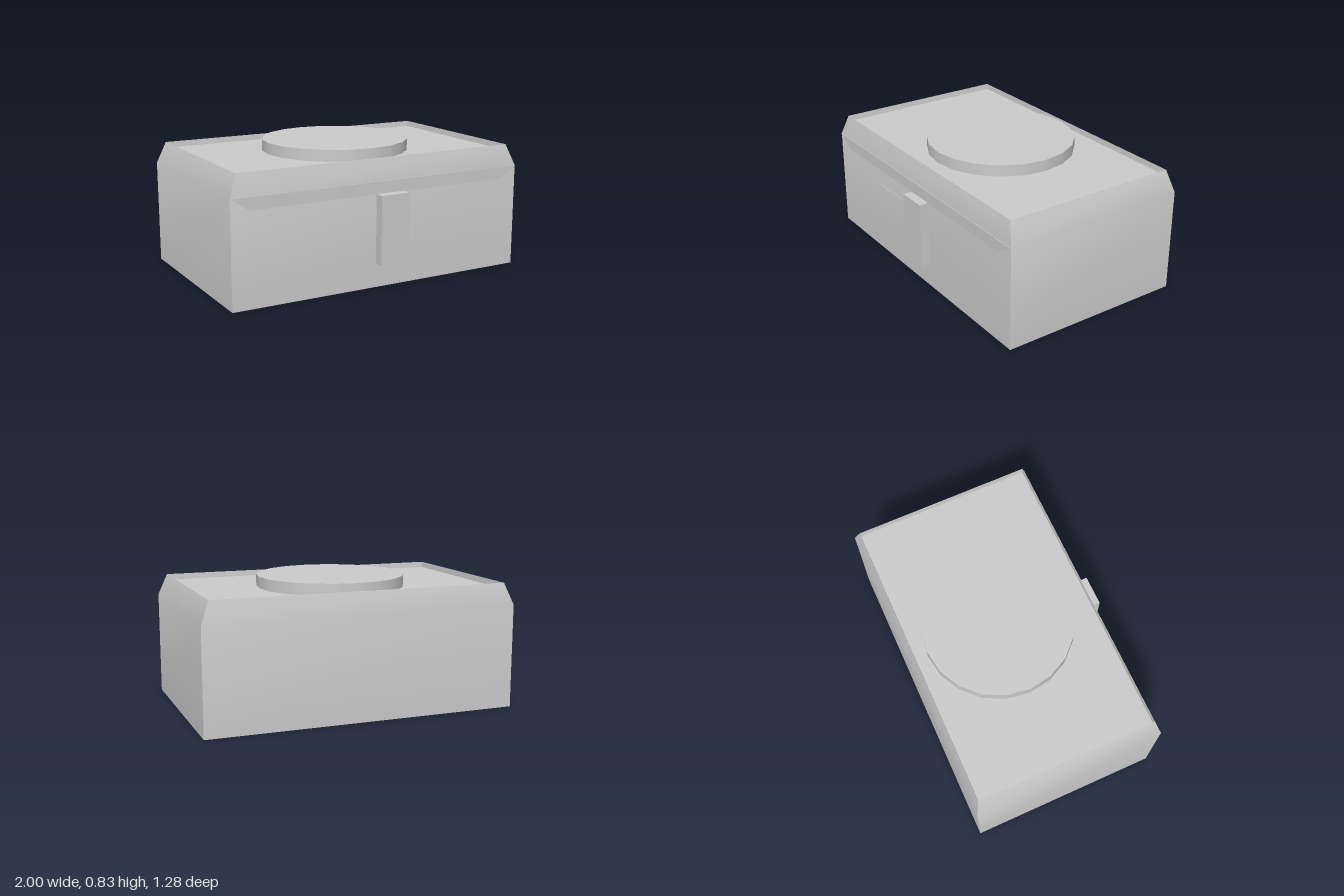
import * as THREE from 'three';
import { toCreasedNormals } from 'three/addons/utils/BufferGeometryUtils.js';

const grey = new THREE.MeshStandardMaterial({ color: 0xcccccc });

function addPart(group, name, geometry, x = 0, y = 0, z = 0) {
  const mesh = new THREE.Mesh(geometry, grey);
  mesh.name = name;
  mesh.position.set(x, y, z);
  group.add(mesh);
  return mesh;
}

// Box given by its limits on each axis
function addBlock(group, name, [x0, x1], [y0, y1], [z0, z1]) {
  return addPart(group, name, new THREE.BoxGeometry(x1 - x0, y1 - y0, z1 - z0),
    (x0 + x1) / 2, (y0 + y1) / 2, (z0 + z1) / 2);
}

// Closed shell through rectangular rings [halfWidth, y, zFront, zBack]
function ringShell(rings) {
  const corners = rings.map(([w, y, f, b]) => [[-w, y, f], [w, y, f], [w, y, b], [-w, y, b]]);
  const pos = [];
  const quad = (a, b, c, d) => pos.push(...a, ...b, ...c, ...a, ...c, ...d);
  for (let i = 0; i < corners.length - 1; i++) {
    const lo = corners[i], hi = corners[i + 1];
    for (let k = 0; k < 4; k++) {
      const n = (k + 1) % 4;
      quad(lo[k], lo[n], hi[n], hi[k]);
    }
  }
  quad(...corners[corners.length - 1]);
  quad(...[...corners[0]].reverse());
  const geometry = new THREE.BufferGeometry();
  geometry.setAttribute('position', new THREE.Float32BufferAttribute(pos, 3));
  return toCreasedNormals(geometry, Math.PI / 6);
}

export function createModel() {
  const model = new THREE.Group();
  model.name = 'case';

  // Box with chamfered shoulders and a shallow recess in the top
  addPart(model, 'body', ringShell([
    [1, 0, 0.577, -0.64],
    [1, 0.66, 0.577, -0.64],
    [0.945, 0.797, 0.543, -0.607],
    [0.94, 0.76, 0.54, -0.604],
  ]));

  // Round plate standing in the recess
  addPart(model, 'roundPlate', new THREE.CylinderGeometry(0.473, 0.473, 0.083, 20), 0.01, 0.7915, -0.054);

  // Thin tapered flap along the top of the front
  const outline = new THREE.Shape([[-1, 0.66], [-0.88, 0.583], [0.88, 0.583], [1, 0.66]]
    .map(([x, y]) => new THREE.Vector2(x, y)));
  addPart(model, 'frontFlap',
    new THREE.ExtrudeGeometry(outline, { depth: 0.007, bevelEnabled: false }), 0, 0, 0.574);

  // Clasp and the hairline seam beside it
  addBlock(model, 'clasp', [-0.05, 0.145], [0.15, 0.585], [0.56, 0.64]);
  addBlock(model, 'frontSeam', [-0.49, -0.05], [0.477, 0.479], [0.57, 0.581]);

  return model;
}
